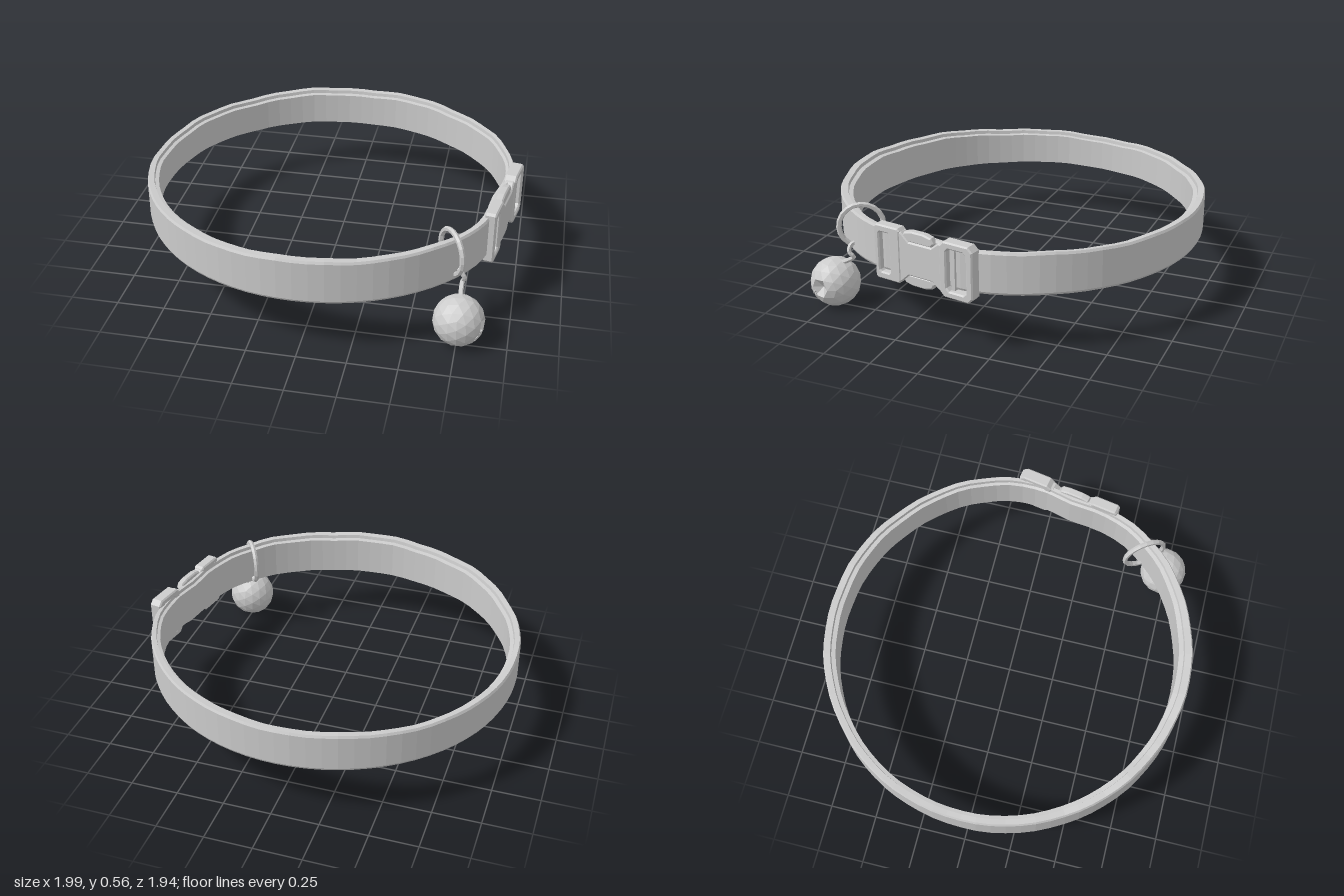
import * as THREE from 'three';

const grey = new THREE.MeshStandardMaterial({ color: 0xcccccc, flatShading: true });

function add(parent, name, geometry, position = [0, 0, 0]) {
  const mesh = new THREE.Mesh(geometry, grey);
  mesh.name = name;
  mesh.position.set(...position);
  parent.add(mesh);
  return mesh;
}

// Closed band swept around the neck: a taller outer layer with a slightly lower lining
function strapGeometry() {
  const N = 80, verts = [], index = [];
  for (let i = 0; i < N; i++) {
    const a = (i / N) * Math.PI * 2, c = Math.cos(a), s = Math.sin(a);
    const wave = 0.003 * Math.sin(a * 9) + 0.002 * Math.sin(a * 23 + 1);
    // the strap dips inward where it runs behind the buckle
    const dip = c > 0 ? 0.055 * Math.exp(-0.5 * ((s - 0.17) / 0.16) ** 2) : 0;
    const outer = 0.98 - dip + wave * 0.4;
    const thick = 0.055 + 0.014 * s * s + 0.004 * s - (c > 0 ? 0.012 * c * c : 0);
    const top = 0.515 + 0.012 * s + 0.008 * c + 0.008 * s * s - (c < 0 ? 0.01 * c * c : 0) + wave;
    const bottom = 0.303 + wave * 0.4;
    const section = [
      [outer - 0.006, bottom], [outer, bottom + 0.012],
      [outer, top - 0.012], [outer - 0.007, top],
      [outer - thick * 0.6, top - 0.002], [outer - thick * 0.65, top - 0.02],
      [outer - thick, top - 0.024], [outer - thick, bottom + 0.004],
    ];
    for (const [r, y] of section) verts.push(-0.02 + r * c, y, -0.005 + r * s * 0.99);
    for (let k = 0; k < 8; k++) {
      const k2 = (k + 1) % 8, n = ((i + 1) % N) * 8, m = i * 8;
      index.push(m + k, m + k2, n + k2, m + k, n + k2, n + k);
    }
  }
  const g = new THREE.BufferGeometry();
  g.setAttribute('position', new THREE.Float32BufferAttribute(verts, 3));
  g.setIndex(index);
  g.computeVertexNormals();
  return g;
}

// Flat plate from an outline with optional windows, centred on its depth
function plate(points, depth, holes = []) {
  const toVectors = (list) => list.map(([x, y]) => new THREE.Vector2(x, y));
  const shape = new THREE.Shape(toVectors(points));
  for (const h of holes) shape.holes.push(new THREE.Path(toVectors(h)));
  const bevel = 0.007;
  const g = new THREE.ExtrudeGeometry(shape, {
    depth: depth - 2 * bevel, bevelThickness: bevel, bevelSize: bevel, bevelOffset: -bevel, bevelSegments: 1,
  });
  return g.translate(0, 0, -depth / 2 + bevel);
}

// Rectangle with cut corners
function chamfered(x0, x1, h, c) {
  return [[x0 + c, -h], [x1 - c, -h], [x1, -h + c], [x1, h - c], [x1 - c, h], [x0 + c, h], [x0, h - c], [x0, -h + c]];
}

function buckle() {
  const group = new THREE.Group();
  group.name = 'buckle';
  group.position.set(0.908, 0.407, 0.115);
  group.rotation.y = Math.PI / 2 - 0.18;

  add(group, 'prongHalf', plate(chamfered(-0.29, -0.135, 0.143, 0.012), 0.06,
    [chamfered(-0.262, -0.2, 0.105, 0.008)]));
  add(group, 'socketHalf', plate(chamfered(0.1, 0.29, 0.143, 0.025), 0.066,
    [chamfered(0.14, 0.252, 0.108, 0.015)]));
  add(group, 'strapBar', new THREE.BoxGeometry(0.02, 0.22, 0.03), [0.165, 0, -0.005]);

  // waisted body between the two halves
  const upper = [[0.12, 0.125], [0.09, 0.12], [0.05, 0.088], [-0.085, 0.088], [-0.13, 0.13], [-0.15, 0.13]];
  const lower = upper.map(([x, y]) => [x, -y]).reverse();
  add(group, 'body', plate([...lower, ...upper], 0.052));

  // squeeze tabs above and below the waist
  for (const side of [1, -1]) {
    const tab = [[-0.115, 0.085], [0.045, 0.085], [0.06, 0.105], [0.045, 0.132],
      [0, 0.142], [-0.075, 0.142], [-0.115, 0.132], [-0.13, 0.105]].map(([x, y]) => [x, y * side]);
    add(group, side > 0 ? 'upperTab' : 'lowerTab', plate(side > 0 ? tab : tab.reverse(), 0.04));
  }
  return group;
}

// Faceted bell with a hollow and a short slit leading away from it
function bellGeometry() {
  const R = 0.13;
  const g = new THREE.IcosahedronGeometry(R, 2);
  const start = new THREE.Vector3().fromBufferAttribute(g.attributes.position, 0);
  const hollow = new THREE.Vector3(0.97, 0.02, 0.2).normalize();
  let best = start.clone();
  const p = g.attributes.position, v = new THREE.Vector3();
  for (let i = 0; i < p.count; i++) {
    v.fromBufferAttribute(p, i);
    if (v.dot(hollow) > best.dot(hollow)) best = v.clone();
  }
  g.applyQuaternion(new THREE.Quaternion().setFromUnitVectors(best.normalize(), hollow));
  for (let i = 0; i < p.count; i++) {
    v.fromBufferAttribute(p, i);
    if (v.dot(hollow) / R > 0.99) p.setXYZ(i, v.x * 0.68, v.y * 0.68, v.z * 0.68);
  }
  g.computeVertexNormals();
  return g;
}

export function createModel() {
  const model = new THREE.Group();
  model.name = 'collar';
  add(model, 'strap', strapGeometry());
  model.add(buckle());

  // ring around the strap, standing across it
  const ring = add(model, 'ring', new THREE.TorusGeometry(0.113, 0.014, 6, 20), [0.69, 0.435, 0.59]);
  ring.rotation.y = -Math.atan2(0.83, 0.55);

  // hook joining the ring to the bell
  const hook = new THREE.CatmullRomCurve3([
    [0.705, 0.325, 0.575], [0.715, 0.35, 0.6], [0.745, 0.345, 0.625],
    [0.765, 0.31, 0.625], [0.755, 0.285, 0.605], [0.752, 0.262, 0.635], [0.755, 0.235, 0.69],
  ].map((q) => new THREE.Vector3(...q)));
  add(model, 'hook', new THREE.TubeGeometry(hook, 18, 0.012, 6));

  const bell = new THREE.Group();
  bell.name = 'bell';
  bell.position.set(0.755, 0.13, 0.722);
  add(bell, 'bellShell', bellGeometry());
  // raised lips either side of the slit
  for (const side of [1, -1]) {
    const lip = new THREE.CatmullRomCurve3([0, 1, 2, 3].map((i) => {
      const t = i / 3;
      return new THREE.Vector3(0.9 - 0.2 * t, -0.15 - 0.3 * t + side * 0.07, 0.35 + 0.3 * t)
        .normalize().multiplyScalar(0.125);
    }));
    add(bell, 'slitLip', new THREE.TubeGeometry(lip, 6, 0.006, 5));
  }
  model.add(bell);
  return model;
}
